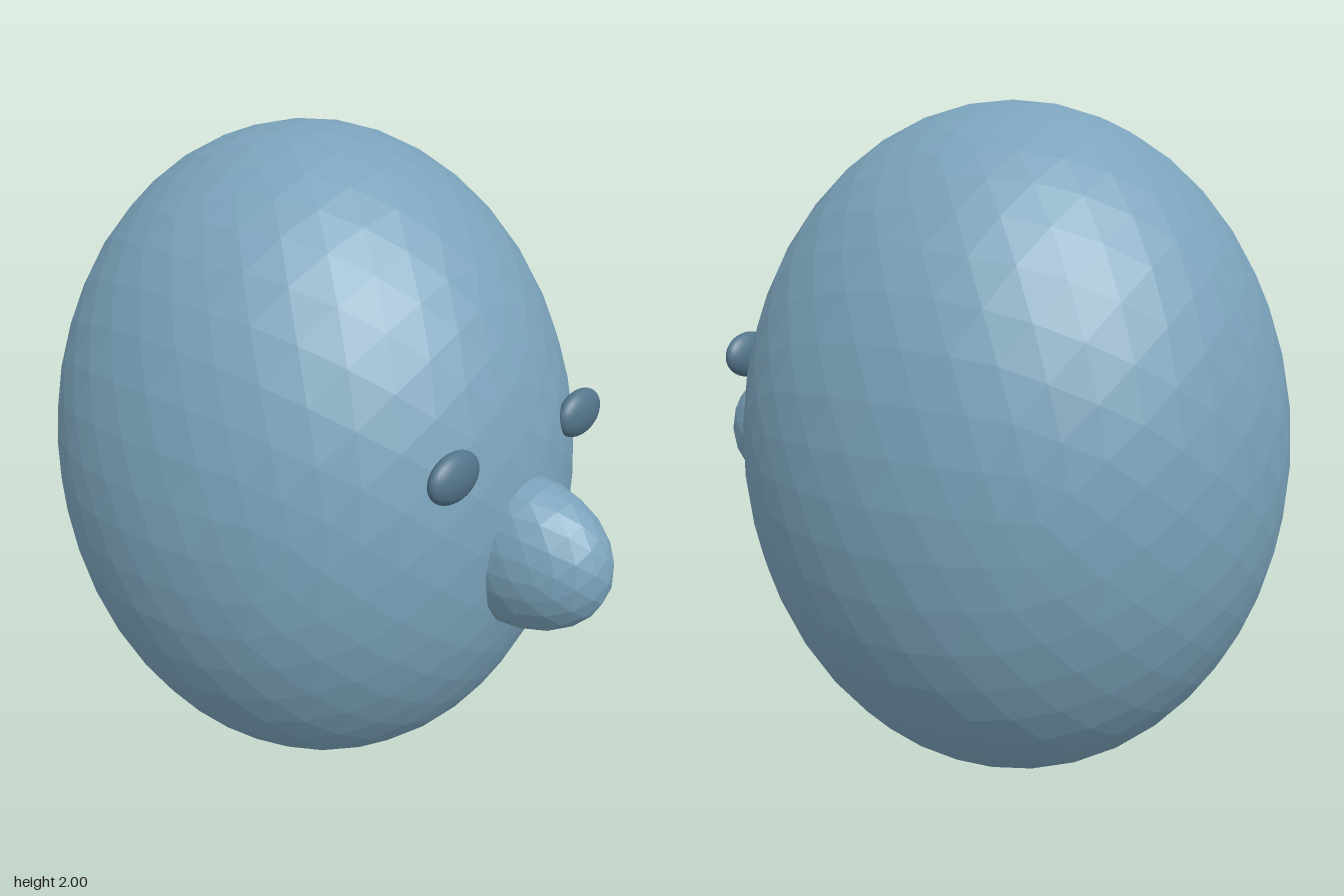
import * as THREE from 'three';

export function createModel() {
  const model = new THREE.Group();

  const paleBlue = new THREE.MeshStandardMaterial({ color: 0x7ba3bb, flatShading: true });
  paleBlue.name = 'paleBlue';
  const slateBlue = new THREE.MeshStandardMaterial({ color: 0x54758b });
  slateBlue.name = 'slateBlue';

  // Adds a sphere-like geometry stretched into an ellipsoid
  function ellipsoid(name, geometry, material, radii, position) {
    geometry.scale(...radii);
    const mesh = new THREE.Mesh(geometry, material);
    mesh.name = name;
    mesh.position.set(...position);
    model.add(mesh);
  }

  // Egg-shaped faceted head
  ellipsoid('head', new THREE.IcosahedronGeometry(1, 7), paleBlue, [0.75, 1, 0.825], [0, 1, -0.12]);

  // Faceted nose, half sunk in the head
  ellipsoid('nose', new THREE.IcosahedronGeometry(1, 3), paleBlue, [0.168, 0.224, 0.28], [0, 0.937, 0.67]);

  // Flat, smooth oval eyes
  for (const side of [1, -1]) {
    ellipsoid(side > 0 ? 'leftEye' : 'rightEye', new THREE.SphereGeometry(1, 32, 20), slateBlue,
      [0.095, 0.069, 0.038], [side * 0.287, 1.248, 0.647]);
  }

  return model;
}
